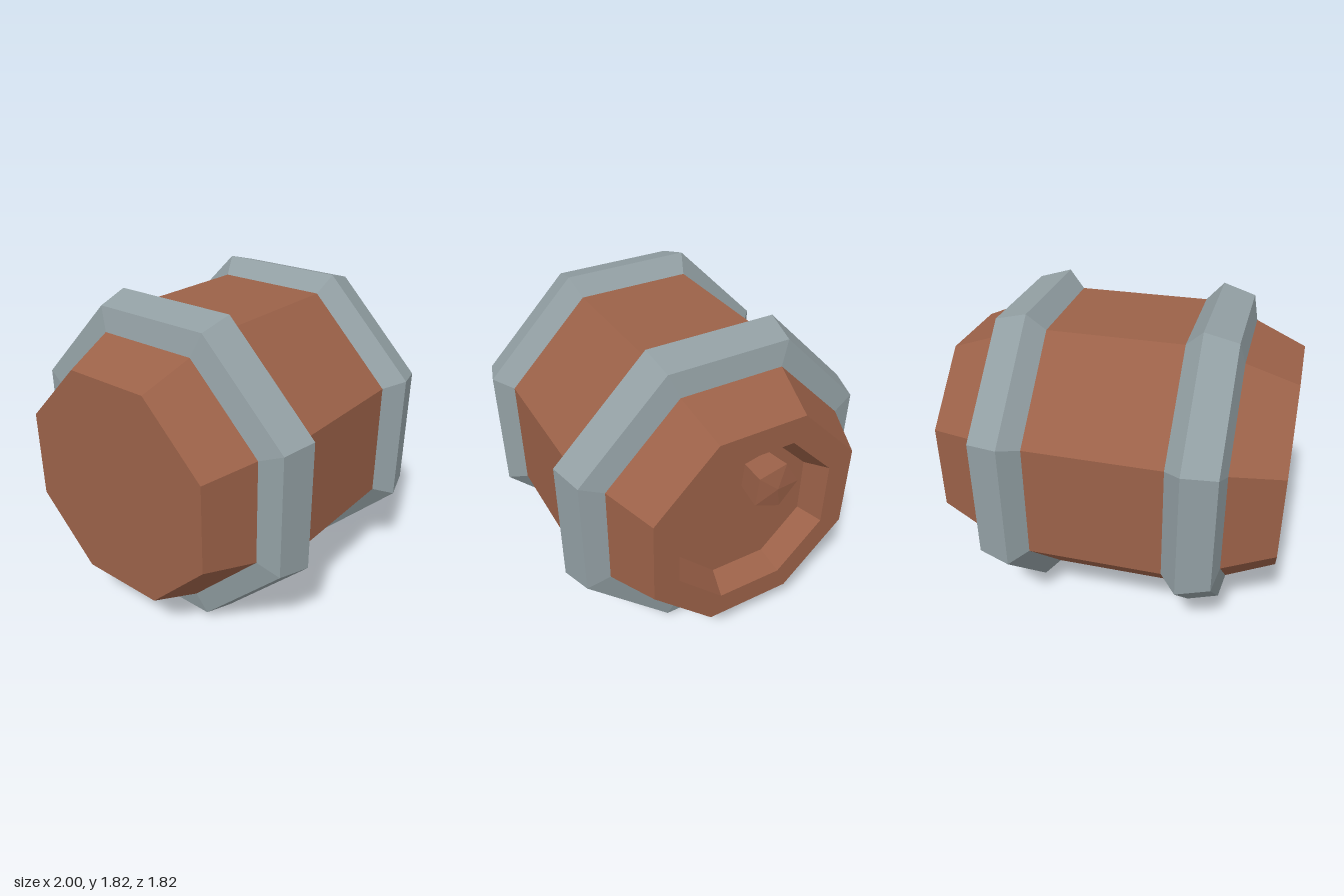
import * as THREE from 'three';

const wood = new THREE.MeshStandardMaterial({ color: 0x9b6148, flatShading: true });
wood.name = 'wood';
const iron = new THREE.MeshStandardMaterial({ color: 0x929fa3, flatShading: true });
iron.name = 'iron';

const AXIS_Y = 0.908; // height of the barrel's lying axis

// Turned part around the x axis; profile holds [x, radius] pairs from -x to +x.
function turned(name, profile, sides, phase, material) {
  const points = profile.map(([x, r]) => new THREE.Vector2(r, x));
  const geometry = new THREE.LatheGeometry(points, sides, phase);
  geometry.rotateZ(-Math.PI / 2);
  const mesh = new THREE.Mesh(geometry, material);
  mesh.name = name;
  mesh.position.y = AXIS_Y;
  return mesh;
}

// Octagonal part with flats on top; profile radii are measured to the flats.
function octagonal(name, profile, material) {
  const scale = 1 / Math.cos(Math.PI / 8);
  return turned(name, profile.map(([x, r]) => [x, r * scale]), 8, Math.PI / 8, material);
}

export function createModel() {
  const model = new THREE.Group();
  model.name = 'barrel';

  // Staves, flat back end, and recessed lid at the +x end
  model.add(octagonal('barrelBody', [
    [-1, 0], [-1, 0.613], [-0.71, 0.727], [-0.4, 0.812],
    [0.36, 0.812], [0.67, 0.727], [0.96, 0.613],
    [0.96, 0.465], [0.825, 0.4], [0.825, 0],
  ], wood));

  // Two mirrored iron hoops
  const hoop = [[-0.69, 0.727], [-0.66, 0.857], [-0.475, 0.908], [-0.38, 0.812]];
  const mirrored = hoop.map(([x, r]) => [-x, r]).reverse();
  const middle = -0.02;
  for (const [name, profile] of [['rightHoop', hoop], ['leftHoop', mirrored]]) {
    model.add(octagonal(name, profile.map(([x, r]) => [x + middle, r]), iron));
  }

  // Five-sided bung with a shallow pointed cap
  const bung = turned('bung', [[0.82, 0.121], [0.979, 0.143], [0.999, 0]], 5, 3.055, wood);
  bung.position.y = 1.137;
  bung.position.z = -0.092;
  model.add(bung);

  return model;
}
